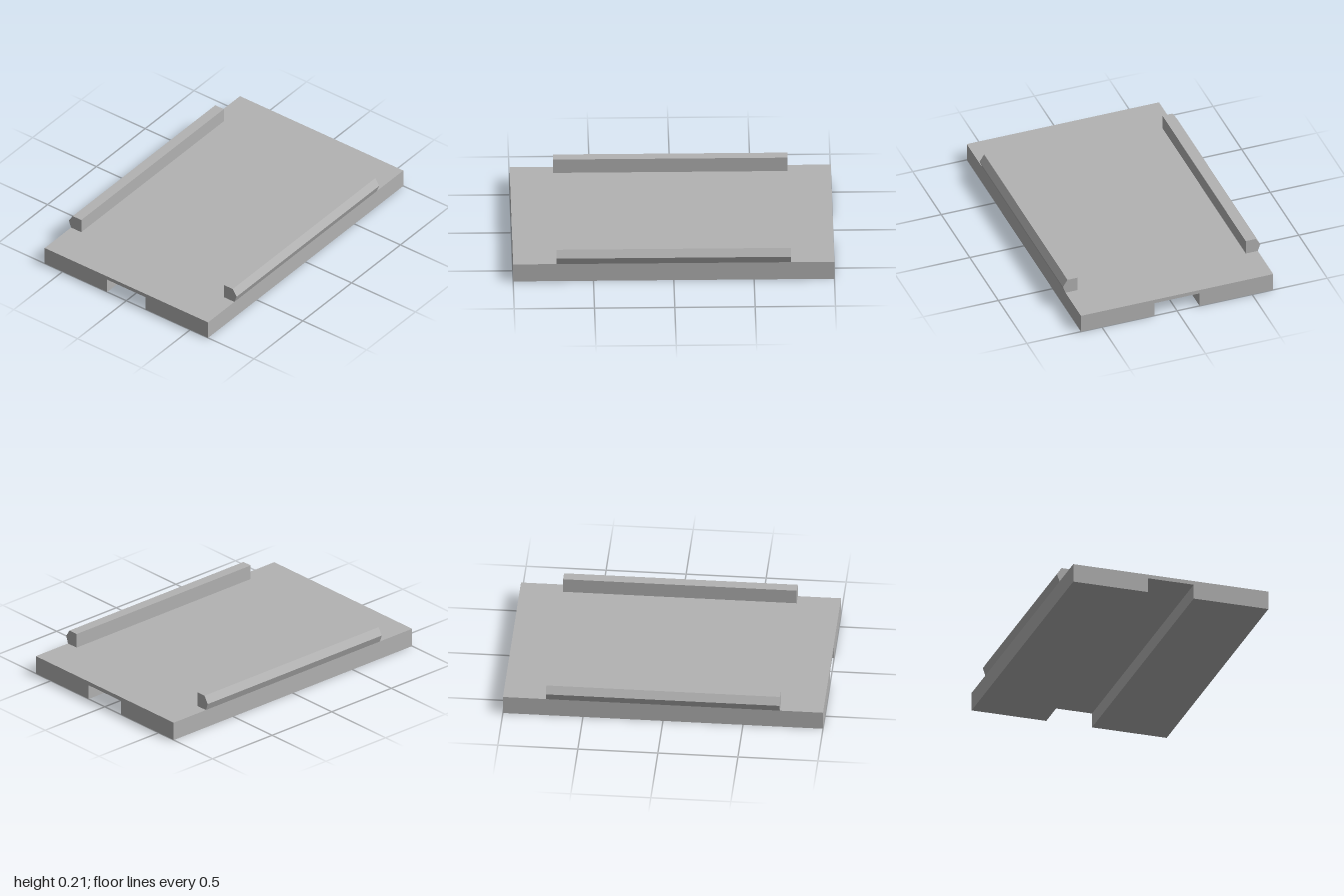
import * as THREE from 'three';

const grey = new THREE.MeshStandardMaterial({ color: 0xb3b3b3 });
grey.name = 'grey';

// Extrudes a (z, y) cross-section along x, centred on x = 0
function bar(name, profile, length) {
  const shape = new THREE.Shape(profile.map(([z, y]) => new THREE.Vector2(z, y)));
  const geometry = new THREE.ExtrudeGeometry(shape, { depth: length, bevelEnabled: false });
  geometry.translate(0, 0, -length / 2);
  geometry.rotateY(-Math.PI / 2);
  const mesh = new THREE.Mesh(geometry, grey);
  mesh.name = name;
  return mesh;
}

export function createModel() {
  const model = new THREE.Group();
  model.name = 'slidePlate';

  // Base plate with a channel along its underside
  model.add(bar('basePlate', [
    [-0.64, 0], [-0.15, 0], [-0.15, 0.095], [0.15, 0.095],
    [0.15, 0], [0.64, 0], [0.64, 0.12], [-0.64, 0.12],
  ], 2));

  // Clip rails with a pointed outer edge, mirrored front and back
  const rail = [[0.56, 0.12], [0.64, 0.12], [0.657, 0.167], [0.627, 0.214], [0.56, 0.214]];
  for (const [name, side] of [['frontRail', 1], ['backRail', -1]]) {
    model.add(bar(name, rail.map(([z, y]) => [z * side, y]), 1.46));
  }

  return model;
}
